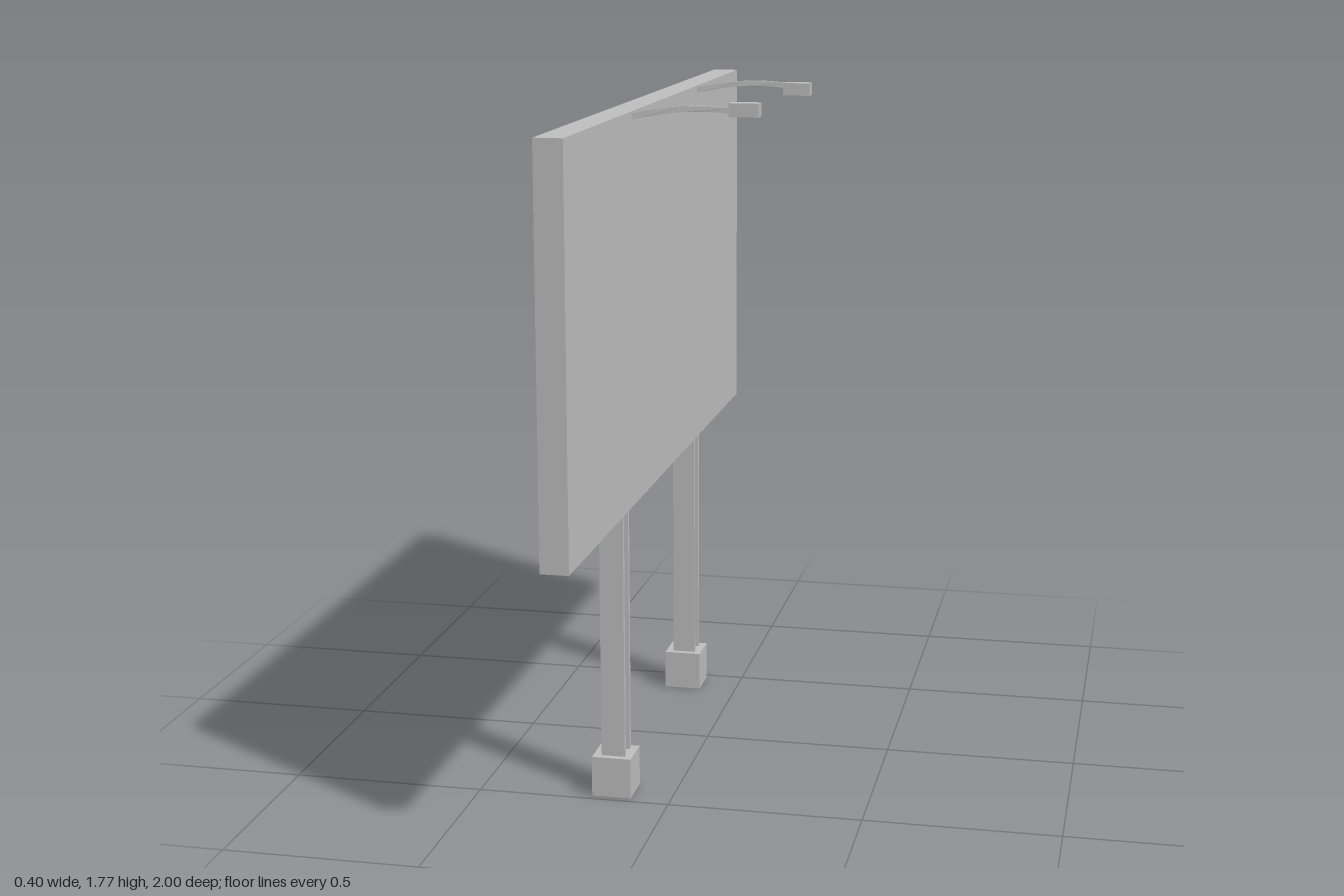
import * as THREE from 'three';

const grey = new THREE.MeshStandardMaterial({ color: 0xc0c0c0 });
grey.name = 'light grey';

// Box given by its minimum and maximum corners
function block(name, [x0, y0, z0], [x1, y1, z1]) {
  const mesh = new THREE.Mesh(new THREE.BoxGeometry(x1 - x0, y1 - y0, z1 - z0), grey);
  mesh.position.set((x0 + x1) / 2, (y0 + y1) / 2, (z0 + z1) / 2);
  mesh.name = name;
  return mesh;
}

// Concrete foot, two side plates and the rungs between them
function createLeg(z) {
  const leg = new THREE.Group();
  leg.name = 'leg';
  leg.add(block('footing', [-0.205, 0, z - 0.051], [-0.103, 0.106, z + 0.051]));
  for (const s of [-1, 1]) {
    const a = z + s * 0.0215, b = z + s * 0.0335;
    leg.add(block('sidePlate', [-0.184, 0.106, Math.min(a, b)], [-0.122, 0.75, Math.max(a, b)]));
  }
  for (const [y0, y1] of [[0.246, 0.276], [0.384, 0.413], [0.55, 0.579], [0.722, 0.75]]) {
    leg.add(block('rung', [-0.174, y0, z - 0.0215], [-0.132, y1, z + 0.0215]));
  }
  return leg;
}

// Bowed flat arm, thin across and taller than wide
function createArm(zStart, zEnd) {
  const curve = new THREE.QuadraticBezierCurve(
    new THREE.Vector2(-0.118, 1.737), new THREE.Vector2(0.01, 1.768), new THREE.Vector2(0.13, 1.753));
  const pts = curve.getPoints(8);
  const h = 0.0075;
  const outline = [
    ...pts.map(p => new THREE.Vector2(p.x, p.y - h)),
    ...pts.slice().reverse().map(p => new THREE.Vector2(p.x, p.y + h)),
  ];
  const geo = new THREE.ExtrudeGeometry(new THREE.Shape(outline), { depth: 0.005, bevelEnabled: false });
  // Swing the arm sideways, with a slight bow
  const pos = geo.attributes.position;
  for (let i = 0; i < pos.count; i++) {
    const t = (pos.getX(i) + 0.118) / 0.248;
    const bend = 1 - (1 - t) * (1 - t) * 0.35 - (1 - t) * 0.65;
    pos.setZ(i, pos.getZ(i) - 0.0025 + zStart + (zEnd - zStart) * bend);
  }
  geo.computeVertexNormals();
  const arm = new THREE.Mesh(geo, grey);
  arm.name = 'lampArm';
  return arm;
}

// Lamp housing, open underneath
function createLamp(z, y) {
  const lamp = new THREE.Group();
  lamp.name = 'lampHead';
  const [x0, x1, w, t] = [0.125, 0.199, 0.02, 0.006];
  lamp.add(block('lampTop', [x0, y + 0.01, z - w], [x1, y + 0.034, z + w]));
  lamp.add(block('lampRim', [x0, y, z - w], [x0 + t, y + 0.01, z + w]));
  lamp.add(block('lampRim', [x1 - t, y, z - w], [x1, y + 0.01, z + w]));
  lamp.add(block('lampRim', [x0 + t, y, z - w], [x1 - t, y + 0.01, z - w + t]));
  lamp.add(block('lampRim', [x0 + t, y, z + w - t], [x1 - t, y + 0.01, z + w]));
  return lamp;
}

export function createModel() {
  const model = new THREE.Group();
  model.name = 'billboard';
  model.add(block('panel', [-0.187, 0.75, -1], [-0.117, 1.75, 1]));
  for (const z of [-0.429, 0.429]) model.add(createLeg(z));
  model.add(createArm(0.356, 0.335), createLamp(0.335, 1.74));
  model.add(createArm(-0.419, -0.438), createLamp(-0.438, 1.727));
  return model;
}
